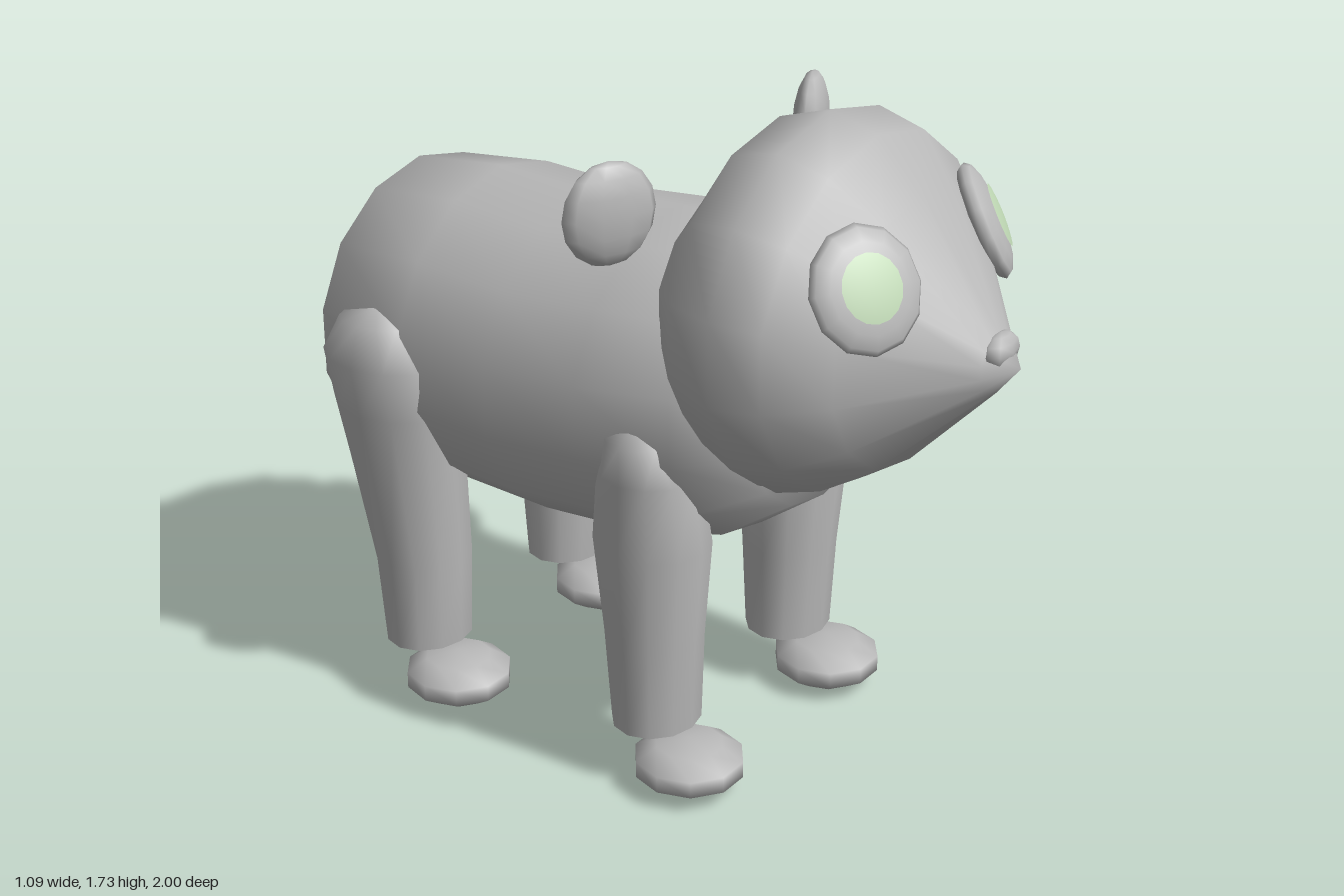
import * as THREE from 'three';
import { mergeVertices } from 'three/addons/utils/BufferGeometryUtils.js';

// Skin a row of elliptical rings; place(ring, sin, cos) gives each point.
function loft(rings, sides, place) {
  const pos = [], index = [];
  for (const ring of rings) {
    for (let j = 0; j < sides; j++) {
      const a = (j / sides) * Math.PI * 2;
      pos.push(...place(ring, Math.sin(a), Math.cos(a)));
    }
  }
  for (let i = 0; i < rings.length - 1; i++) {
    for (let j = 0; j < sides; j++) {
      const k = (j + 1) % sides;
      const a = i * sides + j, b = a + sides, c = i * sides + k, d = c + sides;
      index.push(a, b, c, c, b, d);
    }
  }
  let geo = new THREE.BufferGeometry();
  geo.setAttribute('position', new THREE.Float32BufferAttribute(pos, 3));
  geo.setIndex(index);
  geo = mergeVertices(geo, 1e-5);
  geo.computeVertexNormals();
  return geo;
}

// Rings [z, centre y, half width, half height] from back to front.
const alongZ = ([z, cy, rx, ry], s, c) => [rx * s, cy + ry * c, z];
// Rings [y, centre x, centre z, half width, half depth] from bottom to top.
const alongY = (side) => ([y, cx, cz, rx, rz], s, c) => [side * cx - rx * s, y, cz + rz * c];

const BODY = [
  [-1.0, 1.0, 0, 0], [-0.94, 0.985, 0.15, 0.175], [-0.8, 0.975, 0.41, 0.395],
  [-0.52, 0.97, 0.44, 0.43], [-0.24, 0.957, 0.445, 0.428], [0.04, 0.98, 0.45, 0.43],
  [0.3, 1.01, 0.42, 0.4], [0.48, 1.02, 0.33, 0.28], [0.52, 1.02, 0, 0],
];
const HEAD = [
  [0.12, 1.28, 0, 0], [0.21, 1.27, 0.33, 0.25], [0.33, 1.27, 0.465, 0.42],
  [0.47, 1.258, 0.51, 0.475], [0.6, 1.26, 0.49, 0.435], [0.72, 1.24, 0.37, 0.335],
  [0.94, 1.21, 0.08, 0.075], [1.0, 1.21, 0, 0],
];
const FRONT_LEG = [
  [0.15, 0.305, 0.19, 0, 0], [0.15, 0.305, 0.19, 0.115, 0.1], [0.155, 0.305, 0.19, 0.125, 0.11],
  [0.4, 0.31, 0.187, 0.13, 0.125], [0.66, 0.315, 0.185, 0.145, 0.15],
  [0.86, 0.335, 0.19, 0.125, 0.13], [0.96, 0.37, 0.19, 0.09, 0.09], [1.02, 0.38, 0.19, 0, 0],
];
const BACK_LEG = [
  [0.15, 0.305, -0.565, 0, 0], [0.15, 0.305, -0.565, 0.115, 0.1], [0.155, 0.305, -0.565, 0.125, 0.11],
  [0.4, 0.31, -0.57, 0.13, 0.13], [0.84, 0.34, -0.608, 0.15, 0.178],
  [0.98, 0.37, -0.612, 0.14, 0.18], [1.08, 0.39, -0.62, 0.08, 0.11], [1.11, 0.39, -0.62, 0, 0],
];

export function createModel() {
  const grey = new THREE.MeshStandardMaterial({ color: 0xb8b8b8 });
  grey.name = 'grey';
  const green = new THREE.MeshStandardMaterial({ color: 0xbfd8b4 });
  green.name = 'paleGreen';

  const model = new THREE.Group();
  model.name = 'animal';
  const add = (name, geo, mat = grey, parent = model) => {
    const mesh = new THREE.Mesh(geo, mat);
    mesh.name = name;
    parent.add(mesh);
    return mesh;
  };
  const blob = (name, p, r, sides = 10, rows = 6) => {
    const mesh = add(name, new THREE.SphereGeometry(1, sides, rows));
    mesh.position.set(...p);
    mesh.scale.set(...r);
    return mesh;
  };

  add('body', loft(BODY, 14, alongZ));
  add('head', loft(HEAD, 14, alongZ));
  blob('nose', [0, 1.245, 0.945], [0.068, 0.045, 0.035], 8, 6);
  blob('tail', [0, 0.935, -0.965], [0.05, 0.055, 0.035], 8, 6);

  for (const side of [1, -1]) {
    const label = side > 0 ? 'left' : 'right';

    // Legs and the separate flattened feet
    add(label + 'FrontLeg', loft(FRONT_LEG, 12, alongY(side)));
    add(label + 'BackLeg', loft(BACK_LEG, 12, alongY(side)));
    blob(label + 'FrontFoot', [side * 0.325, 0.07, 0.305], [0.147, 0.07, 0.15], 10, 5);
    blob(label + 'BackFoot', [side * 0.325, 0.07, -0.45], [0.147, 0.07, 0.15], 10, 5);

    // Thin ears swept back at the outside
    const ear = blob(label + 'Ear', [side * 0.43, 1.535, 0.148], [0.124, 0.127, 0.045], 10, 8);
    ear.rotation.y = side * 0.42;

    // Eye disc lying on the face, with a thin pupil cap
    const eye = new THREE.Group();
    eye.name = label + 'Eye';
    eye.position.set(side * 0.275, 1.435, 0.742);
    eye.lookAt(side * (0.275 + 0.46), 1.435 + 0.42, 0.742 + 0.78);
    model.add(eye);
    const ball = add(label + 'EyeDisc', new THREE.SphereGeometry(1, 12, 8).rotateX(Math.PI / 2), grey, eye);
    ball.scale.set(0.142, 0.152, 0.04);
    const cap = new THREE.SphereGeometry(1, 16, 4, 0, Math.PI * 2, 0, 0.54).rotateX(Math.PI / 2);
    const pupil = add(label + 'Pupil', cap, green, eye);
    pupil.scale.set(0.148, 0.158, 0.044);
  }
  return model;
}
